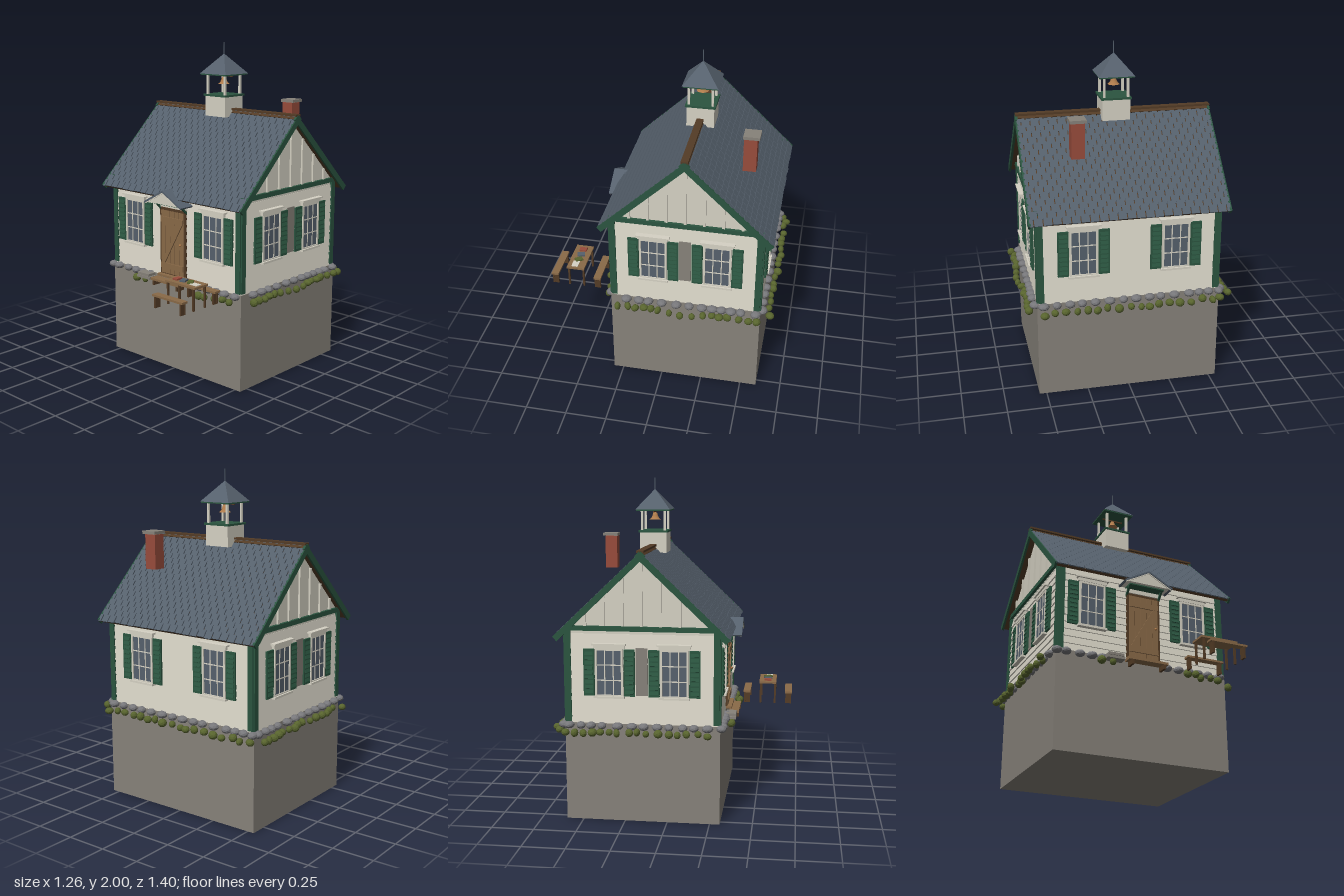
import * as THREE from 'three';
import { mergeGeometries } from 'three/addons/utils/BufferGeometryUtils.js';

const paint = (name, color) => {
  const m = new THREE.MeshStandardMaterial({ color });
  m.name = name;
  return m;
};
const M = {
  wall: paint('cream paint', 0xd6d2c4),
  slate: paint('slate', 0x56616d),
  green: paint('dark green paint', 0x2b5540),
  wood: paint('oak wood', 0x8a6a48),
  dark: paint('dark wood', 0x543c26),
  brick: paint('brick', 0x984c3c),
  base: paint('foundation', 0x87827a),
  stone: paint('field stone', 0x77777a),
  leaf: paint('shrub leaf', 0x58642e),
  bronze: paint('bronze', 0xb07c4c),
};

let seed = 7;
const rnd = () => (seed = (seed * 16807) % 2147483647) / 2147483647;

const flat = (g) => {
  const n = g.index ? g.toNonIndexed() : g;
  n.computeVertexNormals();
  return n;
};
const mesh = (parent, name, geo, mat, x = 0, y = 0, z = 0) => {
  const m = new THREE.Mesh(geo, mat);
  m.name = name;
  m.position.set(x, y, z);
  parent.add(m);
  return m;
};
const box = (parent, name, mat, w, h, d, x, y, z) =>
  mesh(parent, name, new THREE.BoxGeometry(w, h, d), mat, x, y, z);
const group = (parent, name, x = 0, y = 0, z = 0) => {
  const g = new THREE.Group();
  g.name = name;
  g.position.set(x, y, z);
  parent.add(g);
  return g;
};

const CZ = -0.145, HX = 0.53, HZ = 0.445; // house centre and half sizes

// Lapped board, thick at the bottom and thin at the top
function lapBoard(w, h, y) {
  const g = new THREE.BoxGeometry(w, h, 0.01);
  const p = g.attributes.position;
  for (let i = 0; i < p.count; i++) if (p.getY(i) > 0 && p.getZ(i) > 0) p.setZ(i, -0.003);
  g.computeVertexNormals();
  return g.translate(0, y, 0.005);
}

function shutteredWindow(parent, x) {
  const w = group(parent, 'window', x, 0.893, 0);
  box(w, 'glass', M.slate, 0.15, 0.27, 0.008, 0, 0, 0.012);
  for (const s of [-1, 1]) {
    box(w, 'frameSide', M.wall, 0.012, 0.285, 0.022, s * 0.076, 0, 0.012);
    box(w, 'frameRail', M.wall, 0.15, 0.012, 0.022, 0, s * 0.136, 0.012);
    box(w, 'mullion', M.wall, 0.006, 0.27, 0.01, s * 0.025, 0, 0.014);
    // Louvred shutter
    box(w, 'shutter', M.green, 0.064, 0.275, 0.012, s * 0.118, 0, 0.014);
    for (let i = 0; i < 9; i++) {
      const slat = box(w, 'shutterSlat', M.green, 0.048, 0.02, 0.005, s * 0.118, -0.112 + i * 0.028, 0.021);
      slat.rotation.x = -0.35;
    }
  }
  for (const y of [-0.045, 0.045]) box(w, 'glazingBar', M.wall, 0.15, 0.006, 0.01, 0, y, 0.014);
  box(w, 'windowSill', M.wall, 0.18, 0.012, 0.035, 0, -0.143, 0.016);
  box(w, 'windowHead', M.wall, 0.18, 0.02, 0.026, 0, 0.152, 0.013);
  box(w, 'windowCornice', M.wall, 0.2, 0.009, 0.036, 0, 0.167, 0.018);
}

function wallSide(root, name, angle, half, dist, windowX) {
  const g = group(root, name, Math.sin(angle) * dist, 0, CZ + Math.cos(angle) * dist);
  g.rotation.y = angle;
  const boards = [];
  for (let i = 0; i < 12; i++) boards.push(lapBoard(half * 2, 0.044, 0.612 + i * 0.044));
  mesh(g, 'clapboards', mergeGeometries(boards), M.wall);
  for (const s of [-1, 1]) {
    box(g, 'cornerBoard', M.green, 0.035, 0.55, 0.016, s * (half - 0.012), 0.872, 0.006);
    shutteredWindow(g, s * windowX);
  }
  return g;
}

function gable(side) {
  const shape = new THREE.Shape([[-HZ, 1.13], [HZ, 1.13], [0, 1.555]].map((p) => new THREE.Vector2(...p)));
  mesh(side, 'gableWall', new THREE.ExtrudeGeometry(shape, { depth: 0.02, bevelEnabled: false }), M.wall, 0, 0, -0.018);
  for (let i = -3; i <= 3; i++) {
    const h = 1.545 - Math.abs(i) * 0.11 * 0.951 - 1.155;
    box(side, 'gableBatten', M.wall, 0.016, h, 0.012, i * 0.11, 1.155 + h / 2, 0.008);
  }
  box(side, 'gableBand', M.green, 0.9, 0.028, 0.02, 0, 1.15, 0.01);
  box(side, 'wallPanel', M.base, 0.07, 0.28, 0.006, 0, 0.9, 0.01);
}

// One roof slope: z runs down from the ridge, y is the outward normal
function roofSlope(root, turn) {
  const L = 0.705, rows = 18, cols = 22;
  const g = group(root, 'roofSlope', 0, 1.595, CZ);
  g.rotation.set(0.76, turn, 0, 'YXZ');
  box(g, 'roofDeck', M.dark, 1.15, 0.016, L, 0, -0.022, L / 2);
  const tiles = [], step = L / rows, cw = 1.16 / cols;
  for (let r = 0; r < rows; r++) {
    for (let c = 0; c <= cols; c++) {
      const lo = Math.max(-0.58, -0.58 + (c - (r % 2) / 2) * cw);
      const hi = Math.min(0.58, -0.58 + (c + 1 - (r % 2) / 2) * cw);
      if (hi - lo < 0.01) continue;
      const t = new THREE.BoxGeometry(hi - lo - 0.006, 0.007, step * 1.2);
      t.rotateX(0.12);
      tiles.push(t.translate((lo + hi) / 2, -0.007, (r + 0.48) * step + rnd() * 0.006));
    }
  }
  mesh(g, 'shingles', mergeGeometries(tiles), M.slate);
  for (const s of [-1, 1]) box(g, 'rakeBoard', M.green, 0.014, 0.036, L + 0.01, s * 0.577, -0.022, L / 2);
}

function belfry(root) {
  const g = group(root, 'belfry', 0, 0, CZ);
  box(g, 'belfryBase', M.wall, 0.164, 0.125, 0.164, 0, 1.61, 0);
  box(g, 'belfryFloor', M.green, 0.18, 0.012, 0.18, 0, 1.677, 0);
  for (const x of [-1, 1]) for (const z of [-1, 1])
    box(g, 'belfryPost', M.wall, 0.014, 0.125, 0.014, x * 0.07, 1.742, z * 0.07);
  box(g, 'belfryEaves', M.green, 0.205, 0.008, 0.205, 0, 1.805, 0);
  const cone = flat(new THREE.ConeGeometry(0.106 * Math.SQRT2, 0.122, 4)).rotateY(Math.PI / 4);
  mesh(g, 'belfryRoof', cone, M.slate, 0, 1.87, 0);
  mesh(g, 'spire', new THREE.CylinderGeometry(0.0025, 0.004, 0.08, 6), M.slate, 0, 1.96, 0);
  const prof = [[0, 0.045], [0.012, 0.042], [0.017, 0.025], [0.024, 0.01], [0.036, 0]].map((p) => new THREE.Vector2(...p));
  const bell = mesh(g, 'bell', new THREE.LatheGeometry(prof.reverse(), 14), M.bronze, 0, 1.745, 0);
  mesh(bell, 'bellBottom', new THREE.CircleGeometry(0.035, 14).rotateX(Math.PI / 2), M.bronze, 0, 0.002, 0);
  box(g, 'bellHanger', M.dark, 0.14, 0.008, 0.008, 0, 1.795, 0);
}

function entrance(front) {
  const g = group(front, 'entrance');
  box(g, 'doorBacking', M.dark, 0.215, 0.42, 0.016, 0, 0.812, 0.008);
  for (let i = -2; i <= 2; i++) box(g, 'doorPlank', M.wood, 0.035, 0.395, 0.01, i * 0.038, 0.808, 0.016);
  for (const y of [0.66, 0.95]) box(g, 'doorLedge', M.wood, 0.185, 0.035, 0.01, 0, y, 0.024);
  const brace = box(g, 'doorBrace', M.wood, 0.024, 0.31, 0.01, 0, 0.805, 0.023);
  brace.rotation.z = -0.52;
  mesh(g, 'doorKnob', new THREE.SphereGeometry(0.008, 8, 6), M.bronze, 0.075, 0.81, 0.03);
  box(g, 'doorLintel', M.wall, 0.22, 0.025, 0.02, 0, 1.037, 0.01);
  // Small gabled hood on brackets
  const tri = new THREE.Shape([[-0.14, 1.06], [0.14, 1.06], [0, 1.132]].map((p) => new THREE.Vector2(...p)));
  mesh(g, 'hoodPediment', new THREE.ExtrudeGeometry(tri, { depth: 0.095, bevelEnabled: false }), M.wall);
  for (const s of [-1, 1]) {
    const roof = box(g, 'hoodRoof', M.slate, 0.177, 0.01, 0.108, s * 0.077, 1.1, 0.052);
    roof.rotation.z = -s * 0.5;
    const trim = box(g, 'hoodTrim', M.wall, 0.172, 0.012, 0.004, s * 0.076, 1.095, 0.099);
    trim.rotation.z = -s * 0.5;
    const arm = box(g, 'hoodBracket', M.green, 0.012, 0.012, 0.085, s * 0.105, 1.03, 0.028);
    arm.rotation.x = -0.8;
  }
  box(g, 'hoodBeam', M.green, 0.225, 0.008, 0.075, 0, 1.056, 0.038);
  // Plank doorstep and stacked slabs beside it
  box(g, 'stepTread', M.wood, 0.25, 0.014, 0.06, 0, 0.575, 0.06);
  box(g, 'stepTop', M.wood, 0.22, 0.014, 0.04, 0, 0.597, 0.025);
  for (const s of [-1, 1]) box(g, 'stepLeg', M.dark, 0.014, 0.03, 0.06, s * 0.1, 0.555, 0.06);
  for (let i = 0; i < 2; i++) box(g, 'stoneSlab', M.base, 0.11 - i * 0.015, 0.016, 0.06, -0.2, 0.568 + i * 0.018, 0.05);
}

function furniture(root) {
  const g = group(root, 'picnicSet', 0.343, 0, 0.555);
  const trestle = (name, z, top, depth, h) => {
    box(g, name + 'Top', M.wood, 0.236, h, depth, 0, top - h / 2, z);
    for (const x of [-1, 1]) for (const e of [-1, 1])
      box(g, name + 'Leg', M.dark, 0.012, top - h - 0.548, 0.011, x * 0.1, (top - h + 0.548) / 2, z + e * (depth / 2 - 0.009));
  };
  trestle('table', 0, 0.69, 0.11, 0.012);
  for (const s of [-1, 1]) {
    trestle('bench', s * 0.134, 0.628, 0.045, 0.012);
    for (const x of [-1, 1]) box(g, 'benchEnd', M.dark, 0.01, 0.07, 0.036, x * 0.1, 0.583, s * 0.134);
  }
  // Books and a sheet of paper
  [[-0.07, M.brick, 0], [-0.018, M.slate, 0.3], [0.034, M.leaf, 0.6]].forEach(([x, mat, turn]) => {
    box(g, 'book', mat, 0.034, 0.01, 0.046, x, 0.695, 0).rotation.y = turn;
  });
  box(g, 'paper', M.wall, 0.055, 0.004, 0.04, 0.078, 0.692, 0.008);
}

// Stones and shrubs around the footing
function surround(root) {
  const lump = (name, mat, x, y, z, sx, sy, sz) => {
    const m = mesh(root, name, flat(new THREE.IcosahedronGeometry(1, 1)), mat, x, y, z);
    m.scale.set(sx, sy, sz);
    m.rotation.y = rnd() * 6;
  };
  const ring = (half, along, put) => {
    for (let t = -half; t <= half; t += along * (0.75 + rnd() * 0.5)) put(t);
  };
  for (const s of [-1, 1]) {
    const stone = (x, z) => lump('footingStone', M.stone, x, 0.578, z, 0.026 + rnd() * 0.009, 0.022, 0.026 + rnd() * 0.009);
    ring(0.54, 0.075, (t) => { if (s < 0 || Math.abs(t) > 0.13) stone(t, CZ + s * 0.462); });
    ring(0.43, 0.075, (t) => stone(s * 0.552, CZ + t));
    const shrub = (x, z) => lump('shrub', M.leaf, x, 0.542 + rnd() * 0.012, z, 0.018 + rnd() * 0.01, 0.02 + rnd() * 0.006, 0.018 + rnd() * 0.01);
    ring(0.44, 0.058, (t) => shrub(s * (0.575 + rnd() * 0.035), CZ + t));
    ring(0.54, 0.06, (t) => {
      if (s < 0 || t > 0.22 || (t < -0.2 && t > -0.34)) shrub(t, CZ + s * (0.485 + rnd() * 0.035));
    });
  }
}

export function createModel() {
  const root = new THREE.Group();
  root.name = 'schoolhouse';
  box(root, 'foundation', M.base, 1.085, 0.59, 0.91, 0, 0.295, CZ);
  box(root, 'wallCore', M.wall, HX * 2, 0.55, HZ * 2, 0, 0.86, CZ);

  entrance(wallSide(root, 'frontWall', 0, HX, HZ, 0.33));
  wallSide(root, 'backWall', Math.PI, HX, HZ, 0.27);
  for (const s of [-1, 1]) gable(wallSide(root, 'endWall', s * Math.PI / 2, HZ, HX, 0.19));

  roofSlope(root, 0);
  roofSlope(root, Math.PI);
  box(root, 'ridgeCap', M.dark, 1.165, 0.012, 0.042, 0, 1.594, CZ);
  belfry(root);

  box(root, 'chimney', M.brick, 0.076, 0.205, 0.076, 0.277, 1.522, -0.47);
  box(root, 'chimneyCap', M.base, 0.095, 0.018, 0.095, 0.277, 1.636, -0.475);

  furniture(root);
  surround(root);
  return root;
}
